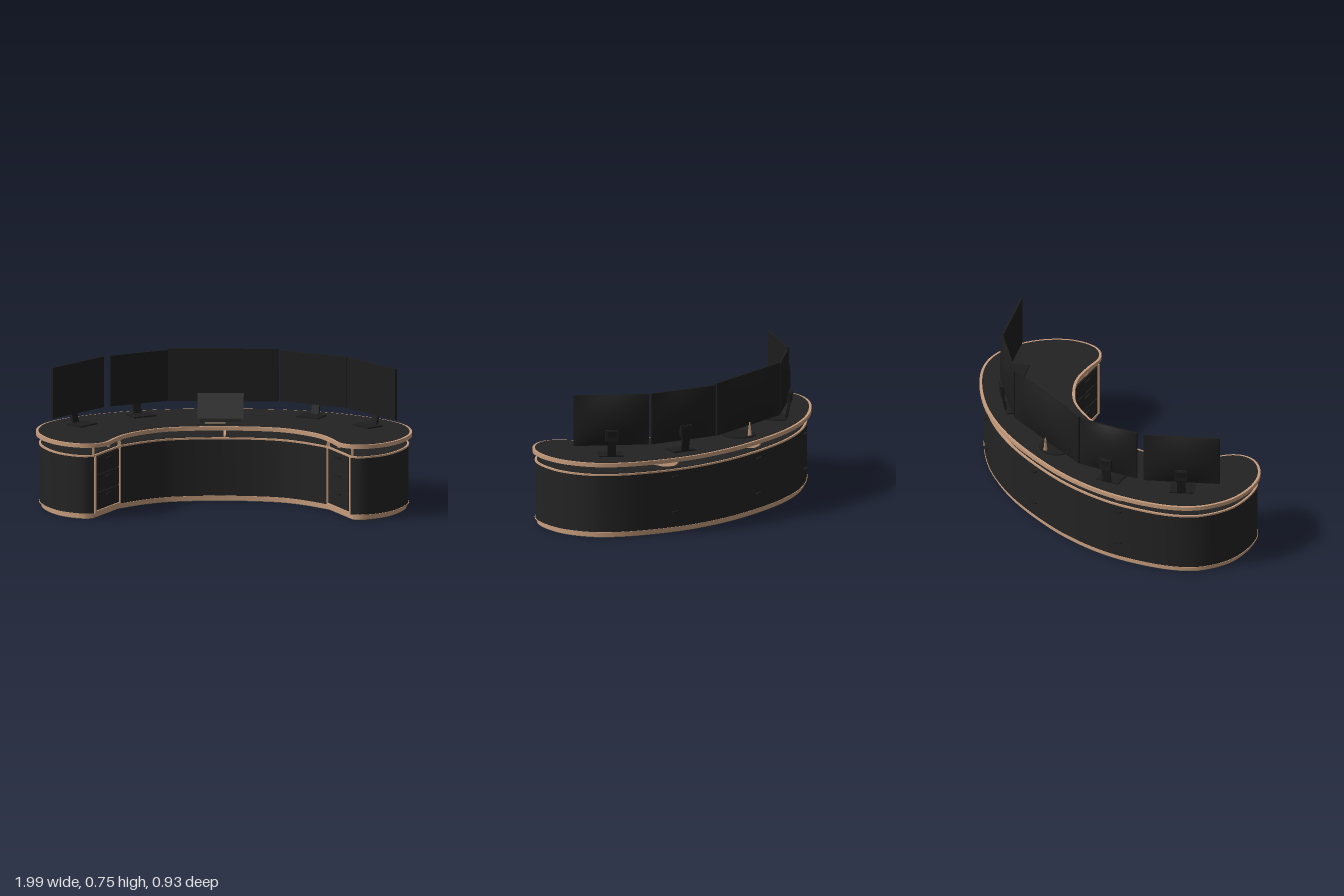
import * as THREE from 'three';
import { toCreasedNormals } from 'three/addons/utils/BufferGeometryUtils.js';

const mat = (name, color) => Object.assign(new THREE.MeshStandardMaterial({ color }), { name });
const black = mat('black laminate', 0x232323);
const dark = mat('monitor black', 0x1d1d1d);
const wood = mat('light wood', 0xc69c7c);
const taupe = mat('taupe', 0x6c6452);

// Points are [x, z] seen from above
const mirrorX = (pts) => pts.map(([x, z]) => [-x, z]).reverse();
const spline = (pts, closed, n) =>
  new THREE.CatmullRomCurve3(pts.map(([x, z]) => new THREE.Vector3(x, 0, z)), closed)
    .getPoints(n).map((p) => new THREE.Vector2(p.x, -p.z));

// Kidney-shaped table outline
const topHalf = [[0.29, 0.035], [0.42, 0.11], [0.51, 0.2], [0.565, 0.3], [0.61, 0.405], [0.655, 0.448],
  [0.72, 0.465], [0.8, 0.445], [0.88, 0.39], [0.955, 0.28], [0.995, 0.13], [0.975, -0.02], [0.92, -0.125],
  [0.8, -0.24], [0.56, -0.375], [0.29, -0.45]];
const topOutline = spline([[0, 0], ...topHalf, [0, -0.47], ...mirrorX(topHalf)], true, 200).slice(0, -1);

// Cabinet outline: rounded back, two straight drawer faces, curved inner wall
const backHalf = [[0.68, 0.445], [0.73, 0.455], [0.8, 0.43], [0.87, 0.375], [0.935, 0.27], [0.975, 0.13],
  [0.955, -0.02], [0.9, -0.115], [0.785, -0.22], [0.55, -0.352], [0.285, -0.425]];
const innerHalf = [[0.28, 0.01], [0.41, 0.075], [0.55, 0.19]];
const bodyOutline = [
  ...spline([...backHalf, [0, -0.445], ...mirrorX(backHalf)], false, 140),
  ...spline([...mirrorX(innerHalf), [0, -0.025], ...innerHalf], false, 60),
];

// Move an outline inward along its averaged edge normals
function inset(pts, d) {
  const s = THREE.ShapeUtils.area(pts) > 0 ? 1 : -1;
  return pts.map((p, i) => {
    const a = pts[(i + pts.length - 1) % pts.length], b = pts[(i + 1) % pts.length];
    const t = b.clone().sub(a).normalize();
    return new THREE.Vector2(p.x - t.y * d * s, p.y + t.x * d * s);
  });
}

function slab(name, outline, d, y0, y1, material) {
  const geo = new THREE.ExtrudeGeometry(new THREE.Shape(inset(outline, d)), { depth: y1 - y0, bevelEnabled: false });
  geo.rotateX(-Math.PI / 2).translate(0, y0, 0);
  const m = new THREE.Mesh(toCreasedNormals(geo, 0.5), material);
  m.name = name;
  return m;
}

function box(name, size, pos, material, parent) {
  const m = new THREE.Mesh(new THREE.BoxGeometry(...size), material);
  m.position.set(...pos);
  m.name = name;
  parent.add(m);
  return m;
}

// Group whose local x runs from a to b and whose local z is its front
function span(name, a, b, parent) {
  const g = new THREE.Group();
  g.name = name;
  g.position.set((a[0] + b[0]) / 2, 0, (a[1] + b[1]) / 2);
  g.rotation.y = Math.atan2(a[1] - b[1], b[0] - a[0]);
  g.userData.length = Math.hypot(b[0] - a[0], b[1] - a[1]);
  parent.add(g);
  return g;
}

// Flat-fronted monitor with a softly bulging back
function monitor(name, a, b, y0, y1, parent) {
  const g = span(name, a, b, parent);
  const w = g.userData.length, h = y1 - y0;
  const geo = new THREE.BoxGeometry(w, h, 0.012, 16, 12, 1);
  const p = geo.attributes.position;
  for (let i = 0; i < p.count; i++) {
    if (p.getZ(i) > 0) continue;
    const u = (2 * p.getX(i)) / w, v = (2 * p.getY(i)) / h;
    p.setZ(i, p.getZ(i) - 0.03 * (1 - u * u) * (1 - v * v));
  }
  geo.computeVertexNormals();
  const shell = new THREE.Mesh(geo, dark);
  shell.name = 'monitorShell';
  shell.position.y = (y0 + y1) / 2;
  g.add(shell);
  return g;
}

export function createModel() {
  const root = new THREE.Group();
  root.name = 'curvedDesk';

  // Cabinet, from the floor up
  root.add(
    slab('basePlate', bodyOutline, 0.012, 0, 0.003, taupe),
    slab('plinth', bodyOutline, 0.01, 0.003, 0.026, wood),
    slab('lowerTrim', bodyOutline, -0.003, 0.026, 0.031, wood),
    slab('cabinet', bodyOutline, 0, 0.031, 0.336, black),
    slab('upperTrim', bodyOutline, -0.003, 0.336, 0.345, wood),
    slab('cabinetTop', bodyOutline, 0.008, 0.345, 0.347, black),
    slab('tabletopUnderside', topOutline, 0.014, 0.386, 0.388, black),
    slab('tabletop', topOutline, 0, 0.388, 0.409, wood),
    slab('tabletopSurface', topOutline, 0.014, 0.409, 0.411, black),
  );

  for (const s of [1, -1]) {
    // Drawer bank with a wooden frame
    const near = [s * 0.68, 0.445], far = [s * 0.55, 0.19];
    const bank = span('drawerBank', s > 0 ? far : near, s > 0 ? near : far, root);
    const L = bank.userData.length;
    for (const e of [-1, 1]) box('frameSide', [0.012, 0.305, 0.016], [e * (L / 2 - 0.006), 0.1835, 0], wood, bank);
    box('frameBottom', [L, 0.01, 0.016], [0, 0.036, 0], wood, bank);
    for (let i = 0; i < 3; i++) {
      const y = 0.09 + i * 0.097;
      box('drawerFront', [L - 0.04, 0.092, 0.008], [0, y, 0.002], black, bank);
      box('drawerHandle', [0.05, 0.006, 0.012], [0, y + 0.025, 0.01], dark, bank);
    }
    // Posts holding the tabletop
    for (const [x, z] of [[0.685, 0.437], [0.61, 0.24], [0.555, 0.192]])
      box('post', [0.014, 0.042, 0.014], [s * x, 0.366, z], wood, root);
  }

  // Tapered support fins reaching past the cabinet at the back
  for (const [a, b] of [[[0, -0.03], [0, -0.465]], [[0.55, 0.18], [0.6, -0.35]], [[-0.55, 0.18], [-0.6, -0.35]]]) {
    const fin = span('supportFin', a, b, root);
    const h = fin.userData.length / 2;
    const prof = [[-h, 0.346], [-h, 0.355], [h * 0.2, 0.387], [h, 0.387], [h - 0.005, 0.375], [h - 0.03, 0.36], [h - 0.07, 0.352], [h - 0.11, 0.346]];
    const geo = new THREE.ExtrudeGeometry(new THREE.Shape(prof.map((p) => new THREE.Vector2(...p))), { depth: 0.012, bevelEnabled: false });
    const m = new THREE.Mesh(geo.translate(0, 0, -0.006), wood);
    m.name = 'finPlate';
    fin.add(m);
  }

  // Pulls on the back panels
  for (const [a, b] of [[[0.02, -0.445], [-0.02, -0.445]], [[0.62, -0.318], [0.58, -0.338]], [[-0.58, -0.338], [-0.62, -0.318]]]) {
    const pulls = span('backPulls', a, b, root);
    for (const y of [0.115, 0.305]) box('pull', [0.04, 0.006, 0.025], [0, y, 0.006], dark, pulls);
  }

  // Side monitors on slanted stands
  const sides = [[[-0.91, 0.11], [-0.645, -0.195]], [[-0.61, -0.215], [-0.31, -0.37]],
    [[0.29, -0.37], [0.645, -0.205]], [[0.65, -0.195], [0.91, 0.11]]];
  for (const [a, b] of sides) {
    const g = monitor('sideMonitor', a, b, 0.472, 0.746, root);
    box('foot', [0.13, 0.007, 0.1], [0, 0.4145, 0.03], dark, g);
    const neck = box('neck', [0.045, 0.15, 0.012], [0, 0.484, -0.03], dark, g);
    neck.rotation.x = -0.2;
    box('neckMount', [0.07, 0.06, 0.02], [0, 0.53, -0.034], dark, g);
  }

  // Wide centre monitor on a round foot
  const centre = monitor('centreMonitor', [-0.305, -0.372], [0.28, -0.372], 0.47, 0.754, root);
  const foot = new THREE.Mesh(new THREE.CylinderGeometry(0.09, 0.09, 0.006, 32), dark);
  foot.name = 'roundFoot';
  foot.position.set(0, 0.414, 0.055);
  centre.add(foot);
  const leg = new THREE.Mesh(new THREE.CylinderGeometry(0.004, 0.014, 0.08, 4), wood);
  leg.name = 'centreLeg';
  leg.position.set(0, 0.45, -0.014);
  centre.add(leg);

  // Laptop with tilted screen
  const laptop = new THREE.Group();
  laptop.name = 'laptop';
  root.add(laptop);
  box('laptopBase', [0.245, 0.004, 0.15], [-0.025, 0.413, -0.105], black, laptop);
  box('keyboard', [0.22, 0.002, 0.06], [-0.025, 0.416, -0.135], dark, laptop);
  box('touchpad', [0.11, 0.002, 0.045], [-0.05, 0.416, -0.06], taupe, laptop);
  const screen = box('laptopScreen', [0.245, 0.14, 0.005], [-0.025, 0.476, -0.212], dark, laptop);
  screen.rotation.x = -0.47;

  return root;
}
